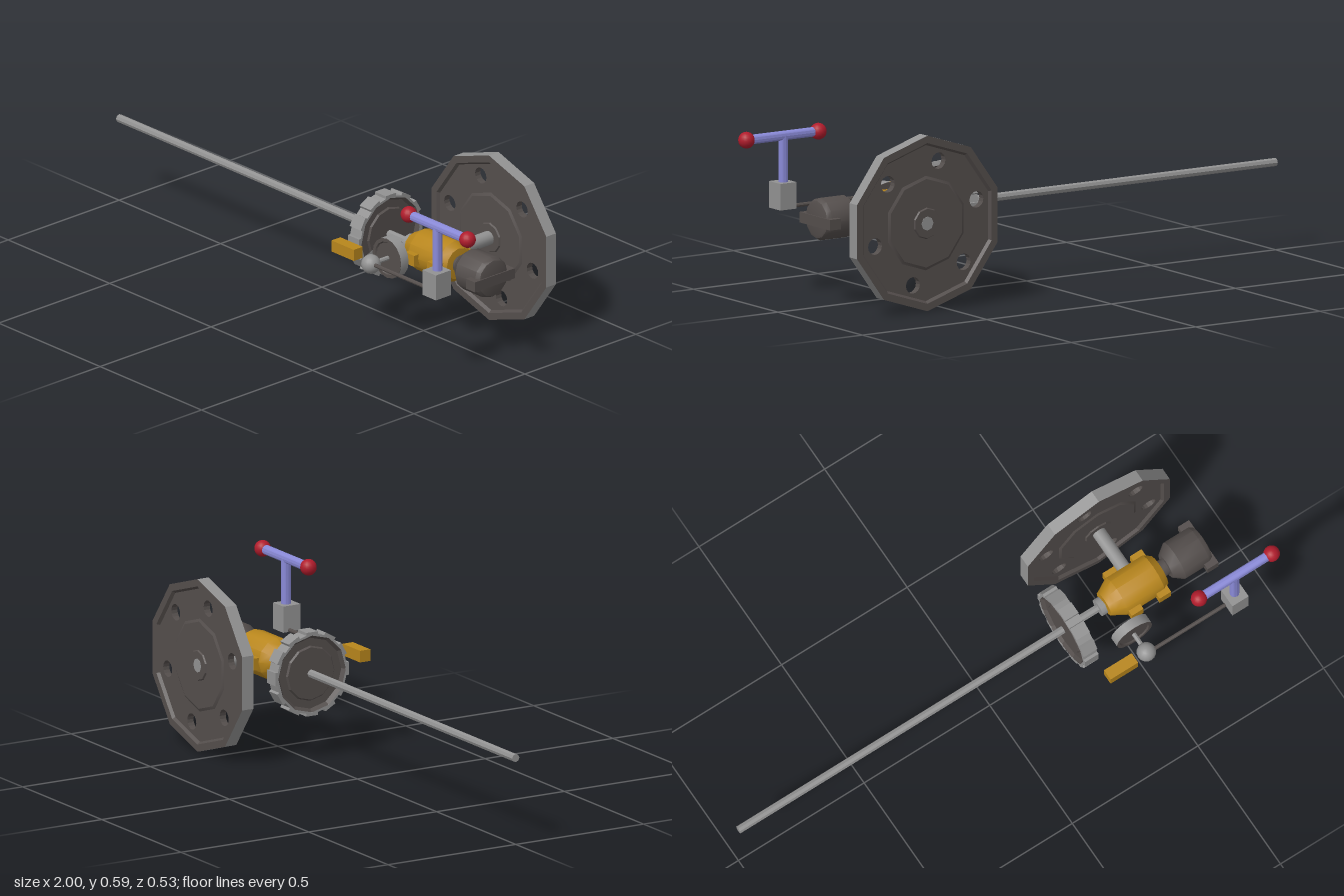
import * as THREE from 'three';
import { toCreasedNormals } from 'three/addons/utils/BufferGeometryUtils.js';

const mat = (name, color) => {
  const m = new THREE.MeshStandardMaterial({ color });
  m.name = name;
  return m;
};

export function createModel() {
  const grey = mat('steel grey', 0x929292);
  const dark = mat('dark iron', 0x544e4c);
  const gold = mat('brass', 0xb8861c);
  const lavender = mat('lavender', 0x8a8ad8);
  const red = mat('red', 0xb01c2c);
  const Y = 0.297;
  const model = new THREE.Group();

  const add = (name, geometry, material, x, y, z, parent = model) => {
    const mesh = new THREE.Mesh(geometry, material);
    mesh.name = name;
    mesh.position.set(x, y, z);
    parent.add(mesh);
    return mesh;
  };
  // turned parts: profile is [radius, distance along axis]
  const turned = (profile, sides, axis, crease = 0.3) => {
    const g = new THREE.LatheGeometry(profile.map(p => new THREE.Vector2(...p)), sides);
    if (axis === 'x') g.rotateZ(-Math.PI / 2);
    if (axis === 'z') g.rotateX(Math.PI / 2);
    return toCreasedNormals(g, crease);
  };
  const rod = (r, length, axis, sides = 12) => turned(
    [[0, -length / 2], [r, -length / 2], [r, length / 2], [0, length / 2]], sides, axis, 0.7);
  const box = (w, h, d) => new THREE.BoxGeometry(w, h, d);
  const ball = r => new THREE.SphereGeometry(r, 16, 12);

  // ten-sided flywheel with six holes
  const wheel = new THREE.Group();
  wheel.name = 'flywheel';
  wheel.position.set(0.58, Y, -0.244);
  model.add(wheel);
  const R = 0.297;
  add('flywheelTread', turned([[R, -0.022], [R, 0.022]], 10, 'z'), grey, 0, 0, 0, wheel);
  add('flywheelRimFront', turned([[R, 0.022], [0.272, 0.022], [0.264, 0.012]], 10, 'z'), dark, 0, 0, 0, wheel);
  add('flywheelRimBack', turned([[0.264, -0.012], [0.272, -0.022], [R, -0.022]], 10, 'z'), dark, 0, 0, 0, wheel);
  const web = new THREE.Shape();
  for (let i = 0; i < 10; i++) {
    const a = Math.PI / 2 + i * Math.PI / 5;
    web[i ? 'lineTo' : 'moveTo'](0.27 * Math.cos(a), 0.27 * Math.sin(a));
  }
  web.closePath();
  for (let i = 0; i < 6; i++) {
    const a = (44 + i * 60) * Math.PI / 180;
    const hole = new THREE.Path();
    hole.absarc(0.212 * Math.cos(a), 0.212 * Math.sin(a), 0.028, 0, Math.PI * 2, true);
    web.holes.push(hole);
  }
  add('flywheelWeb', new THREE.ExtrudeGeometry(web, { depth: 0.024, bevelEnabled: false, curveSegments: 8 })
    .translate(0, 0, -0.012), dark, 0, 0, 0, wheel);
  add('flywheelHub', turned([[0, -0.017], [0.15, -0.017], [0.16, -0.012], [0.16, 0.012],
    [0.15, 0.017], [0, 0.017]], 10, 'z'), dark, 0, 0, 0, wheel);
  add('hubCap', turned([[0, -0.022], [0.05, -0.022], [0.055, -0.015], [0.055, 0.015],
    [0.05, 0.022], [0, 0.022]], 10, 'z'), dark, 0, 0, 0, wheel);
  add('hubNut', rod(0.024, 0.046, 'z', 8), grey, 0, 0, 0, wheel);
  add('flywheelShaft', rod(0.024, 0.2, 'z'), grey, 0.58, Y, -0.135);

  // long drive rod
  add('driveRod', rod(0.014, 1.48, 'x', 8), grey, -0.26, Y, 0);
  add('rodCollar', rod(0.032, 0.02, 'x'), grey, 0.44, Y, 0);

  // ribbed drive disc on the rod
  const disc = new THREE.Group();
  disc.name = 'driveDisc';
  disc.position.set(0.312, Y, 0);
  model.add(disc);
  add('discTread', turned([[0.132, -0.027], [0.14, -0.027], [0.14, 0.027], [0.132, 0.027]], 12, 'x'), grey, 0, 0, 0, disc);
  add('discBody', turned([[0, -0.02], [0.09, -0.02], [0.095, -0.014], [0.122, -0.014], [0.134, -0.026],
    [0.134, 0.026], [0.122, 0.014], [0.095, 0.014], [0.09, 0.02], [0, 0.02]], 12, 'x'), dark, 0, 0, 0, disc);
  for (let i = 0; i < 12; i++) {
    const a = i * Math.PI / 6;
    const rib = add('discRib', box(0.054, 0.012, 0.045), grey, 0, 0.138 * Math.cos(a), 0.138 * Math.sin(a), disc);
    rib.rotation.x = a;
  }
  add('discFacePatch', new THREE.RingGeometry(0.085, 0.135, 4, 1, Math.PI * 1.12, Math.PI * 0.38)
    .rotateY(Math.PI / 2), grey, 0.0275, 0, 0, disc);

  // brass housing with cross lugs
  add('brassHousing', turned([[0, 0.455], [0.045, 0.455], [0.055, 0.475], [0.073, 0.505], [0.073, 0.65],
    [0.055, 0.675], [0, 0.68]], 12, 'x', 0.6), gold, 0, Y, 0);
  for (const x of [0.53, 0.64]) add('housingLug', box(0.046, 0.04, 0.18), gold, x, Y - 0.005, 0);

  // dark end cylinder
  add('endCylinder', turned([[0, 0.67], [0.03, 0.67], [0.03, 0.70], [0.045, 0.70], [0.072, 0.735], [0.072, 0.83],
    [0.064, 0.845], [0.055, 0.848], [0, 0.848]], 12, 'x', 0.6), dark, 0, Y, 0);
  add('cylinderLug', box(0.044, 0.036, 0.18), dark, 0.83, Y - 0.005, 0);

  // side disc, ball joint and link
  add('sideDisc', turned([[0, -0.017], [0.07, -0.017], [0.07, 0.017], [0.058, 0.017], [0.054, 0.012], [0, 0.012]],
    16, 'z', 0.5), dark, 0.48, Y, 0.13);
  add('sideDiscRim', turned([[0.071, -0.017], [0.071, 0.017]], 16, 'z', 0.5), grey, 0.48, Y, 0.13);
  add('jointPin', rod(0.008, 0.09, 'z', 8), grey, 0.48, Y, 0.175);
  add('jointBall', ball(0.033), grey, 0.48, Y, 0.218);
  add('linkRod', rod(0.007, 0.32, 'x', 8), dark, 0.65, Y + 0.006, 0.225);
  add('brassBlock', box(0.11, 0.04, 0.04), gold, 0.373, 0.32, 0.228);

  // T handle
  add('handleBlock', box(0.065, 0.09, 0.068), grey, 0.822, 0.342, 0.234);
  add('handleStem', rod(0.0165, 0.16, 'y'), lavender, 0.822, 0.465, 0.231);
  add('handleBar', rod(0.0165, 0.28, 'x'), lavender, 0.825, 0.543, 0.231);
  for (const x of [0.681, 0.97]) add('handleKnob', ball(0.028), red, x, 0.543, 0.231);

  return model;
}
